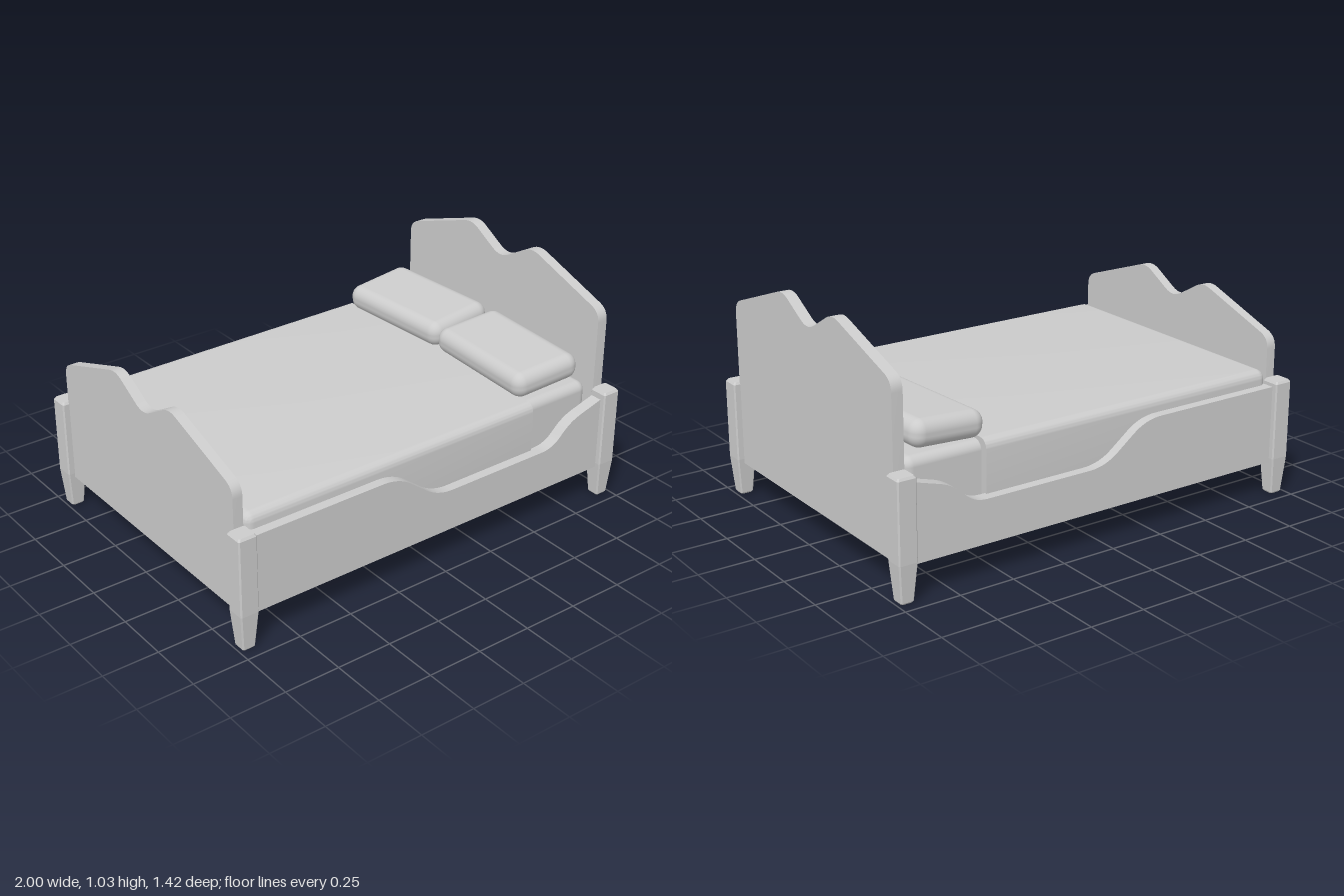
import * as THREE from 'three';
import { toCreasedNormals } from 'three/addons/utils/BufferGeometryUtils.js';
import { RoundedBoxGeometry } from 'three/addons/geometries/RoundedBoxGeometry.js';

const material = new THREE.MeshStandardMaterial({ color: 0xcccccc });

function addPart(parent, name, geometry, x = 0, y = 0, z = 0) {
  const mesh = new THREE.Mesh(geometry, material);
  mesh.name = name;
  mesh.position.set(x, y, z);
  parent.add(mesh);
  return mesh;
}

// Closed outline whose corners [x, y, radius] are softened by curves
function softShape(corners) {
  const shape = new THREE.Shape();
  const n = corners.length;
  corners.forEach(([x, y, r], i) => {
    const p = new THREE.Vector2(x, y);
    const toward = (q) => new THREE.Vector2(q[0], q[1]).sub(p).setLength(r).add(p);
    const a = toward(corners[(i + n - 1) % n]);
    const b = toward(corners[(i + 1) % n]);
    if (i === 0) shape.moveTo(a.x, a.y);
    else shape.lineTo(a.x, a.y);
    if (r > 0) shape.quadraticCurveTo(x, y, b.x, b.y);
  });
  shape.closePath();
  return shape;
}

// Flat board cut from an outline, centred on its thickness
function board(corners, depth) {
  const geometry = new THREE.ExtrudeGeometry(softShape(corners), { depth, bevelEnabled: false, curveSegments: 8 });
  geometry.translate(0, 0, -depth / 2);
  return toCreasedNormals(geometry, 0.6);
}

// End board with two peaks and a dip in the middle
function endBoard(top, depth) {
  const half = [[0.632, top - 0.14, 0.05], [0.2, top + 0.01, 0.05]];
  const corners = [
    [-0.632, 0.15, 0], [0.632, 0.15, 0],
    ...half,
    [0, top - 0.105, 0.06],
    ...half.map(([x, y, r]) => [-x, y, r]).reverse(),
  ];
  return board(corners, depth).rotateY(Math.PI / 2);
}

// Square post with chamfered edges and a tapered foot
function postGeometry() {
  const profile = [[0, 0], [0.025, 0], [0.03, 0.007], [0.043, 0.17], [0.043, 0.515], [0.036, 0.525], [0, 0.525]]
    .map(([r, y]) => new THREE.Vector2(r, y));
  const lathe = new THREE.LatheGeometry(profile, 8, Math.PI / 8);
  const pos = lathe.attributes.position;
  // Push the octagon out to a square with narrow chamfers
  for (let i = 0; i < pos.count; i++) {
    const x = pos.getX(i), z = pos.getZ(i);
    const r = Math.hypot(x, z);
    if (r < 0.001) continue;
    const inner = r - 0.006;
    const wideX = Math.abs(x) > Math.abs(z);
    pos.setX(i, Math.sign(x) * (wideX ? r : inner));
    pos.setZ(i, Math.sign(z) * (wideX ? inner : r));
  }
  const geometry = lathe.toNonIndexed();
  geometry.computeVertexNormals();
  return geometry;
}

// Blanket: rounded at the foot and sides, cut straight at the head end
function blanketGeometry() {
  const geometry = new RoundedBoxGeometry(1.53, 0.375, 1.288, 5, 0.04);
  geometry.translate(-0.155, 0.3775, 0);
  const pos = geometry.attributes.position;
  for (let i = 0; i < pos.count; i++) pos.setX(i, Math.min(pos.getX(i), 0.555));
  return toCreasedNormals(geometry, 0.6);
}

export function createModel() {
  const bed = new THREE.Group();
  bed.name = 'bed';

  // Corner posts
  const post = postGeometry();
  for (const x of [-0.957, 0.957]) {
    for (const z of [-0.669, 0.669]) addPart(bed, x > 0 ? 'headPost' : 'footPost', post, x, 0, z);
  }

  // Head and foot boards
  addPart(bed, 'headboard', endBoard(1.025, 0.05), 0.945);
  addPart(bed, 'footboard', endBoard(0.845, 0.045), -0.947);

  // Side rails with a dipped opening near the head
  const rail = board([
    [-0.93, 0.15, 0], [0.93, 0.15, 0], [0.93, 0.493, 0], [0.74, 0.437, 0.06],
    [0.64, 0.34, 0.06], [0.0, 0.34, 0.08], [-0.21, 0.5, 0.08], [-0.93, 0.5, 0],
  ], 0.054);
  for (const z of [-0.66, 0.66]) addPart(bed, 'sideRail', rail, 0, 0, z);

  // Base panel and bedding
  addPart(bed, 'basePanel', new THREE.BoxGeometry(1.88, 0.03, 1.3), 0, 0.166, 0);
  addPart(bed, 'mattress', new RoundedBoxGeometry(1.8, 0.37, 1.22, 5, 0.04), 0.003, 0.365, 0);
  addPart(bed, 'blanket', blanketGeometry());

  // Pillows, slightly turned and resting toward the headboard
  const pillow = new RoundedBoxGeometry(0.345, 0.118, 0.595, 6, 0.052);
  for (const side of [-1, 1]) {
    const mesh = addPart(bed, 'pillow', pillow, 0.71, 0.622, side * 0.305 - 0.012);
    mesh.rotation.set(0, -side * 0.06, 0.075);
  }

  return bed;
}
